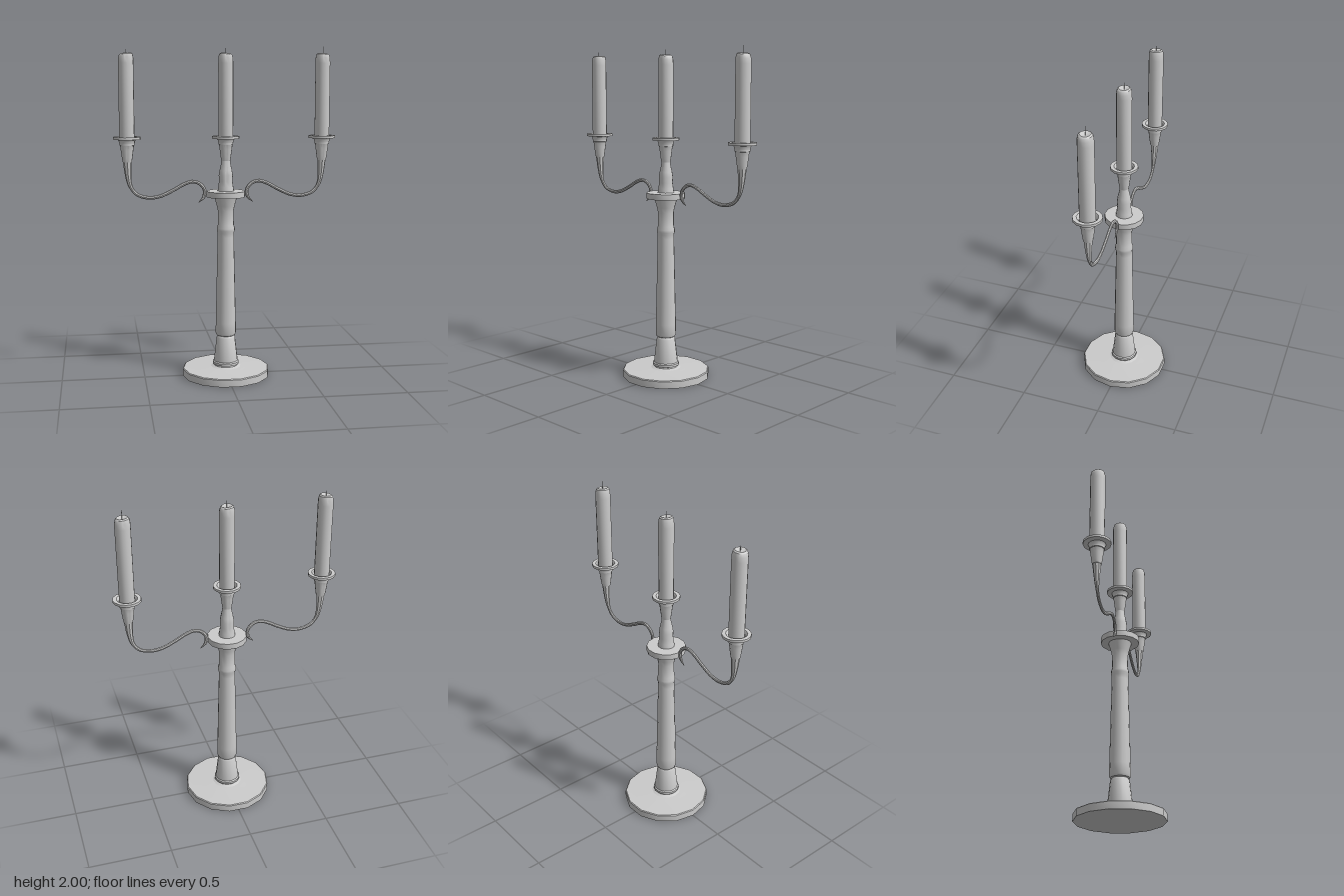
import * as THREE from 'three';
import { toCreasedNormals } from 'three/addons/utils/BufferGeometryUtils.js';

const SIDES = 14;
const material = new THREE.MeshStandardMaterial({ color: 0xcccccc, side: THREE.DoubleSide });

function mesh(name, geometry) {
  const m = new THREE.Mesh(toCreasedNormals(geometry, 0.6), material);
  m.name = name;
  return m;
}

// Turned part from [radius, height] pairs, bottom to top
function turned(profile, sides = SIDES) {
  const points = profile.map(([r, y]) => new THREE.Vector2(r, y));
  return new THREE.LatheGeometry(points, sides, Math.PI / 2);
}

// Candle with a softly slumped, dished top that leans towards +x
function candle(height) {
  const g = new THREE.Group();
  g.name = 'candle';
  const body = turned([[0, 1.40], [0.045, 1.42], [0.045, 1.9], [0.044, 1.935], [0.039, 1.954],
    [0.031, 1.96], [0.022, 1.957], [0, 1.948]]);
  const p = body.attributes.position;
  for (let i = 0; i < p.count; i++) {
    if (p.getY(i) > 1.92) p.setY(i, p.getY(i) - 0.18 * Math.max(0, p.getX(i)));
  }
  g.add(mesh('candleBody', body));
  const wick = new THREE.CylinderGeometry(0.0015, 0.002, height - 1.94, 5);
  wick.translate(0, (height + 1.94) / 2, 0);
  g.add(mesh('wick', wick));
  return g;
}

// Flared cup with a thin drip plate and a recess for the candle
function holder() {
  return mesh('candleCup', turned([[0, 1.322], [0.027, 1.322], [0.031, 1.345], [0.037, 1.39],
    [0.043, 1.435], [0.052, 1.452], [0.082, 1.455], [0.082, 1.47], [0.06, 1.47],
    [0.05, 1.455], [0.045, 1.43], [0, 1.42]]));
}

// S-shaped arm: oval loops swept along a planar curve, swelling under the cup
function arm() {
  const path = new THREE.CatmullRomCurve3([
    [0.588, 1.325], [0.583, 1.235], [0.57, 1.175], [0.533, 1.128], [0.465, 1.107],
    [0.395, 1.115], [0.317, 1.15], [0.248, 1.187], [0.2, 1.2], [0.158, 1.187],
    [0.129, 1.15], [0.134, 1.105], [0.165, 1.073],
  ].map(([x, y]) => new THREE.Vector3(x, y, 0)));
  const steps = 56, ring = 8;
  const positions = [], index = [];
  for (let i = 0; i <= steps; i++) {
    const u = i / steps;
    const c = path.getPointAt(u), t = path.getTangentAt(u);
    const swell = Math.max(0, 1 - u / 0.22);
    const tip = Math.min(1, (1 - u) / 0.08 + 0.15);
    const across = (0.011 + 0.015 * swell) * tip;
    const deep = (0.009 + 0.017 * swell) * tip;
    for (let j = 0; j < ring; j++) {
      const a = (j / ring) * Math.PI * 2;
      const n = across * Math.cos(a);
      positions.push(c.x - t.y * n, c.y + t.x * n, deep * Math.sin(a));
      if (i < steps) {
        const k = i * ring + j, l = i * ring + (j + 1) % ring;
        index.push(k, l, k + ring, l, l + ring, k + ring);
      }
    }
  }
  // Close both ends
  const last = steps * ring;
  for (let j = 1; j < ring - 1; j++) {
    index.push(0, j + 1, j, last, last + j, last + j + 1);
  }
  const g = new THREE.BufferGeometry();
  g.setAttribute('position', new THREE.Float32BufferAttribute(positions, 3));
  g.setIndex(index);
  return mesh('curvedArm', g);
}

function branch(name) {
  const g = new THREE.Group();
  g.name = name;
  const top = new THREE.Group();
  top.name = 'branchTop';
  top.position.x = 0.588;
  top.add(holder(), candle(name === 'leftBranch' ? 2 : 1.98));
  g.add(arm(), top);
  return g;
}

export function createModel() {
  const model = new THREE.Group();
  model.name = 'candelabrum';

  // Round foot, slightly domed
  model.add(mesh('base', turned([[0, 0], [0.267, 0], [0.267, 0.042], [0.262, 0.047],
    [0.12, 0.051], [0, 0.06]])));

  // Turned lower socket
  model.add(mesh('socket', turned([[0.1, 0.05], [0.072, 0.06], [0.07, 0.066], [0.081, 0.07],
    [0.081, 0.084], [0.074, 0.09], [0.057, 0.235], [0.053, 0.243], [0.048, 0.25]])));

  // Tapered column with collar and flared capital
  model.add(mesh('column', turned([[0.045, 0.245], [0.058, 0.252], [0.063, 0.265], [0.062, 0.33],
    [0.056, 0.6], [0.05, 0.86], [0.05, 0.885], [0.055, 0.9], [0.055, 0.915], [0.049, 0.935],
    [0.048, 1.02], [0.054, 1.05], [0.07, 1.105]])));

  // Disc that carries the arms
  model.add(mesh('armDisc', turned([[0, 1.105], [0.117, 1.105], [0.117, 1.14], [0, 1.142]])));

  // Vase-shaped neck under the middle cup
  model.add(mesh('neck', turned([[0.05, 1.14], [0.046, 1.165], [0.041, 1.2], [0.043, 1.235],
    [0.038, 1.265], [0.029, 1.305], [0.027, 1.325]])));

  model.add(holder(), candle(1.988));

  // Pair of arms, the second turned half way round
  const right = branch('rightBranch');
  right.rotation.y = Math.PI;
  model.add(branch('leftBranch'), right);
  return model;
}
